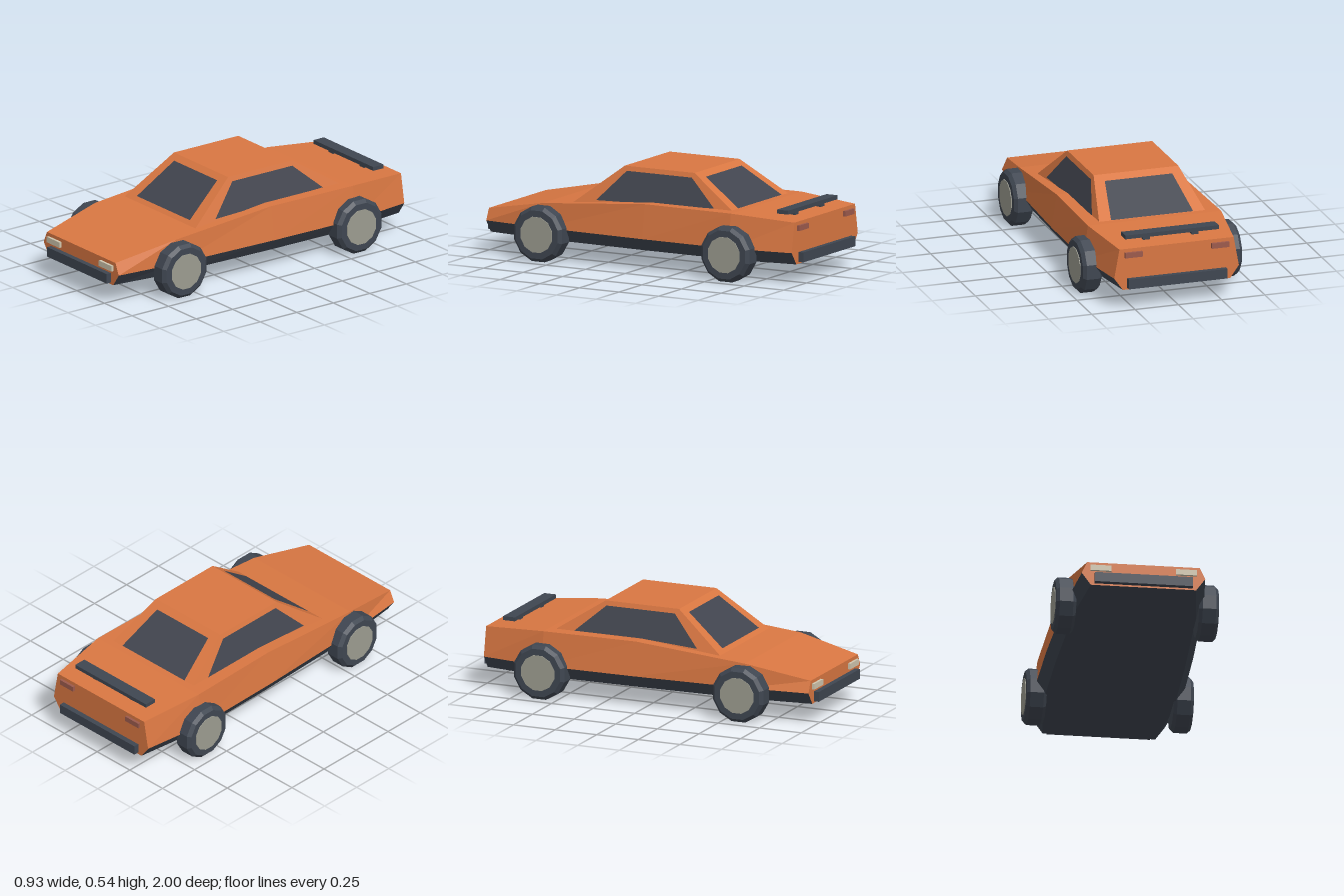
import * as THREE from 'three';

const mat = (name, color) => {
  const m = new THREE.MeshStandardMaterial({ color, flatShading: true });
  m.name = name;
  return m;
};

// Flat-faced geometry from a list of convex polygons (corners counter-clockwise from outside)
function polys(list) {
  const pos = [];
  for (const p of list)
    for (let i = 1; i < p.length - 1; i++) pos.push(...p[0], ...p[i], ...p[i + 1]);
  const g = new THREE.BufferGeometry();
  g.setAttribute('position', new THREE.Float32BufferAttribute(pos, 3));
  g.computeVertexNormals();
  return g;
}

export function createModel() {
  const paint = mat('orange paint', 0xd97742);
  const trim = mat('dark trim', 0x3f4651);
  const glass = mat('dark glass', 0x42454f);
  const lamp = mat('cream lamp', 0xd0c6ae);
  const rim = mat('grey rim', 0x9c9c90);
  const tail = mat('red lamp', 0x9c5a4c);

  const car = new THREE.Group();
  car.name = 'car';
  const add = (name, geo, material, parent = car) => {
    const m = new THREE.Mesh(geo, material);
    m.name = name;
    parent.add(m);
    return m;
  };
  // Box given by its limits on each axis
  const box = (name, material, [x0, x1], [y0, y1], [z0, z1]) =>
    add(name, new THREE.BoxGeometry(x1 - x0, y1 - y0, z1 - z0), material)
      .position.set((x0 + x1) / 2, (y0 + y1) / 2, (z0 + z1) / 2);

  // Body sections, front to back: z, half widths at floor, sill and shoulder, shoulder height
  const rings = [
    [0.97, 0.29, 0.34, 0.31, 0.245],
    [0.6, 0.335, 0.378, 0.367, 0.315],
    [-0.05, 0.355, 0.403, 0.375, 0.37],
    [-0.6, 0.36, 0.41, 0.385, 0.37],
    [-0.97, 0.31, 0.36, 0.33, 0.345],
  ].map(([z, b, s, t, y]) => [
    [b, 0.11, z], [s, 0.18, z], [t, y, z], [-t, y, z], [-s, 0.18, z], [-b, 0.11, z],
  ]);
  const upper = [rings[0], [...rings[4]].reverse()];
  const lower = [];
  for (let r = 0; r < rings.length - 1; r++) {
    const A = rings[r], B = rings[r + 1];
    for (let i = 0; i < 6; i++) {
      const j = (i + 1) % 6;
      (i >= 1 && i <= 3 ? upper : lower).push([A[i], B[i], B[j], A[j]]);
    }
  }
  add('body', polys(upper), paint);
  add('sillsAndFloor', polys(lower), trim);

  // Cabin planes, as functions of height
  const roofY = 0.545;
  const sideX = y => 0.245 + 0.349 * (roofY - y);
  const frontZ = y => 0.15 + 1.302 * (roofY - y);
  const rearZ = y => -0.29 - 1.543 * (roofY - y);
  const corner = (s, y, zf) => [s * sideX(y), y, zf(y)];
  const fl = corner(1, 0.33, frontZ), fr = corner(-1, 0.33, frontZ);
  const bl = corner(1, 0.37, rearZ), br = corner(-1, 0.37, rearZ);
  const tfl = corner(1, roofY, frontZ), tfr = corner(-1, roofY, frontZ);
  const tbl = corner(1, roofY, rearZ), tbr = corner(-1, roofY, rearZ);
  add('cabin', polys([
    [fr, fl, tfl, tfr], [bl, br, tbr, tbl], [fl, bl, tbl, tfl],
    [br, fr, tfr, tbr], [tfr, tfl, tbl, tbr],
  ]), paint);

  // Windows lie just outside the cabin planes
  const e = 0.004;
  const pane = (x, y, zf, d) => [x, y, zf(y) + d];
  add('windscreen', polys([[
    pane(-0.24, 0.35, frontZ, e), pane(0.24, 0.35, frontZ, e),
    pane(0.195, 0.52, frontZ, e), pane(-0.195, 0.52, frontZ, e),
  ]]), glass);
  add('rearWindow', polys([[
    pane(0.237, 0.372, rearZ, -e), pane(-0.237, 0.372, rearZ, -e),
    pane(-0.195, 0.52, rearZ, -e), pane(0.195, 0.52, rearZ, -e),
  ]]), glass);
  const sideOutline = [[0.29, 0.352], [-0.05, 0.372], [-0.45, 0.372], [-0.28, 0.52], [0.13, 0.52]];
  for (const s of [1, -1]) {
    const pts = sideOutline.map(([z, y]) => [s * (sideX(y) + e), y, z]);
    add(s > 0 ? 'leftWindow' : 'rightWindow', polys([s > 0 ? pts : pts.reverse()]), glass);
  }

  // Bumpers, lamps and spoiler
  box('frontBumper', trim, [-0.27, 0.27], [0.12, 0.175], [0.95, 1]);
  box('rearBumper', trim, [-0.285, 0.285], [0.12, 0.175], [-1, -0.95]);
  box('spoilerBlade', trim, [-0.27, 0.27], [0.373, 0.395], [-0.895, -0.825]);
  for (const s of [1, -1]) {
    const span = (a, b) => (s > 0 ? [a, b] : [-b, -a]);
    box('headlight', lamp, span(0.178, 0.293), [0.193, 0.225], [0.95, 0.985]);
    box('tailLight', tail, span(0.2, 0.3), [0.295, 0.325], [-0.985, -0.95]);
    box('spoilerFoot', trim, span(0.12, 0.16), [0.33, 0.375], [-0.875, -0.845]);
  }

  // Wheels: twelve-sided bevelled tyres with flat rims
  const R = 0.157, w = 0.055;
  const tyreGeo = new THREE.LatheGeometry([
    [0, -w], [0.138, -w], [R, -w + 0.018], [R, w - 0.018], [0.138, w], [0, w],
  ].map(p => new THREE.Vector2(...p)), 12);
  const rimGeo = new THREE.CylinderGeometry(0.102, 0.102, 0.02, 12);
  for (const g of [tyreGeo, rimGeo]) g.rotateY(Math.PI / 12).rotateZ(-Math.PI / 2);
  for (const [end, z, x] of [['front', 0.59, 0.393], ['rear', -0.6, 0.405]])
    for (const s of [1, -1]) {
      const wheel = new THREE.Group();
      wheel.name = end + (s > 0 ? 'Left' : 'Right') + 'Wheel';
      wheel.position.set(s * x, 0.152, z);
      add('tyre', tyreGeo, trim, wheel);
      add('rim', rimGeo, rim, wheel).position.x = s * (w - 0.006);
      car.add(wheel);
    }
  return car;
}
